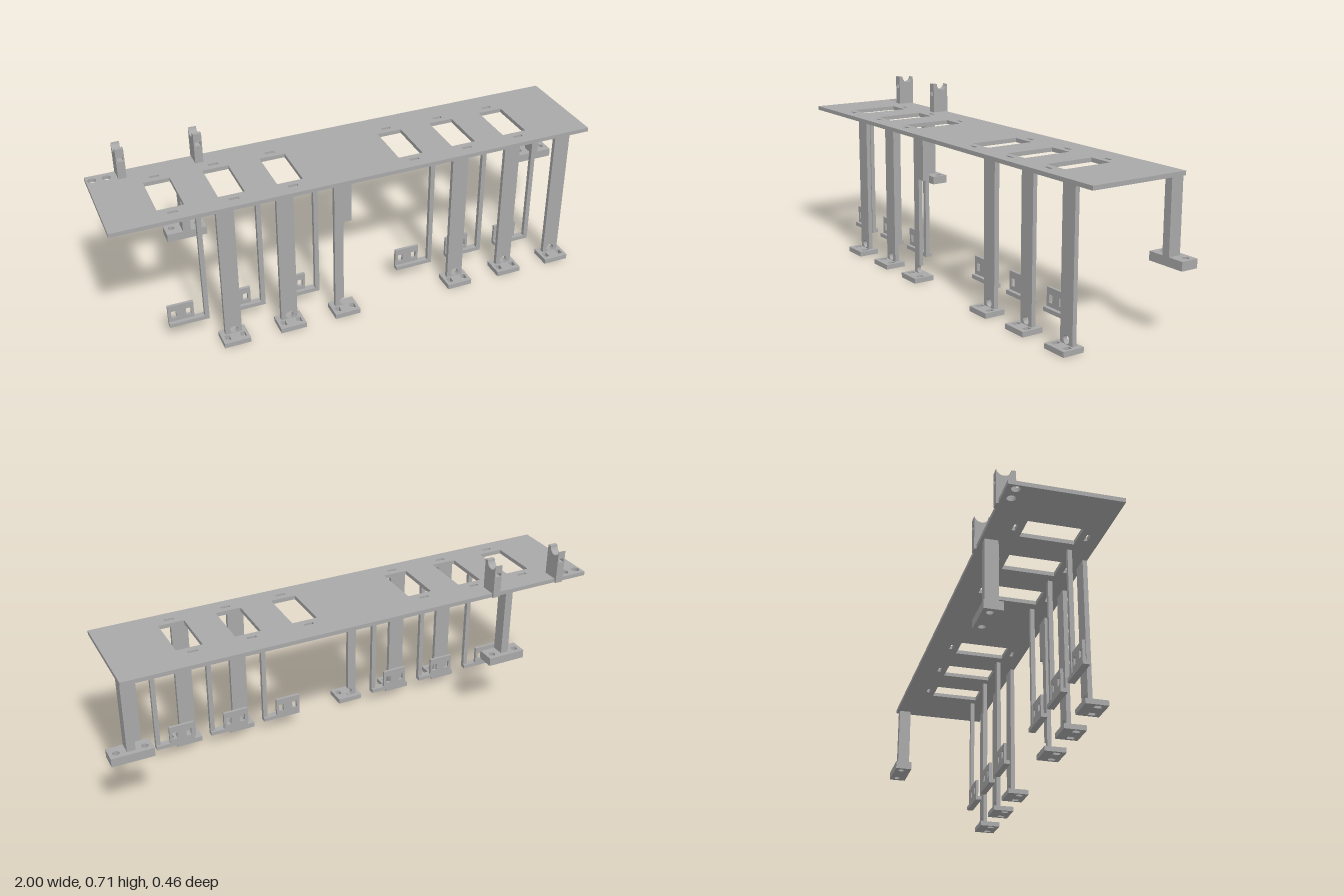
import * as THREE from 'three';

const grey = new THREE.MeshStandardMaterial({ color: 0xa8a8a8 });
grey.name = 'matte grey';

const PLATE_TOP = 0.588, PLATE_BOTTOM = 0.572;

function mesh(name, geometry) {
  const m = new THREE.Mesh(geometry, grey);
  m.name = name;
  return m;
}

// Box given by its limits on each axis
function box(name, x0, x1, y0, y1, z0, z1) {
  const g = new THREE.BoxGeometry(x1 - x0, y1 - y0, z1 - z0);
  g.translate((x0 + x1) / 2, (y0 + y1) / 2, (z0 + z1) / 2);
  return mesh(name, g);
}

function rect(x0, x1, y0, y1, Type = THREE.Path) {
  return new Type([[x0, y0], [x1, y0], [x1, y1], [x0, y1]].map(p => new THREE.Vector2(...p)));
}

function circle(x, y, r) {
  return new THREE.Path().absarc(x, y, r, 0, Math.PI * 2, false);
}

const centred = (x, y, w, h) => rect(x - w / 2, x + w / 2, y - h / 2, y + h / 2);

function extrude(shape, depth) {
  return new THREE.ExtrudeGeometry(shape, { depth, bevelEnabled: false, curveSegments: 16 });
}

// Horizontal slab: outline drawn in x and z
function slab(name, x0, x1, z0, z1, y0, y1, holes) {
  const s = rect(x0, x1, z0, z1, THREE.Shape);
  s.holes.push(...holes);
  return mesh(name, extrude(s, y1 - y0).rotateX(Math.PI / 2).translate(0, y1, 0));
}

// Upright panel: outline drawn in x and y
function panel(name, shape, z0, z1, holes = []) {
  shape.holes.push(...holes);
  return mesh(name, extrude(shape, z1 - z0).translate(0, 0, z0));
}

// Front leg with its screw foot; the half leg is stepped and has an open bite
function frontLeg(x, half) {
  const g = new THREE.Group();
  g.name = 'frontLeg';
  const l = x - 0.033, r = x + 0.033, holeY = 0.037;
  let shape, holes = [];
  if (half) {
    const edge = x + 0.003, a = Math.acos(0.003 / 0.016);
    shape = new THREE.Shape();
    shape.moveTo(l, 0.02);
    shape.lineTo(edge, 0.02);
    shape.absarc(x, holeY, 0.016, -a, a - Math.PI * 2, true);
    shape.absarc(x, holeY, 0.016, a - Math.PI * 2, a - Math.PI * 2, true);
    shape.lineTo(edge, 0.41);
    shape.lineTo(r + 0.004, 0.41);
    shape.lineTo(r + 0.004, PLATE_BOTTOM);
    shape.lineTo(l, PLATE_BOTTOM);
    // the bite runs clockwise round the left of its centre
  } else {
    shape = rect(l, r, 0.02, PLATE_BOTTOM, THREE.Shape);
    holes = [circle(x, holeY, 0.016)];
  }
  g.add(panel('legPost', shape, 0.164, 0.181, holes));
  g.add(slab('legFoot', x - 0.052, x + 0.052, 0.147, 0.233, 0, 0.02,
    [-0.031, 0.031].map(d => centred(x + d, 0.201, 0.02, 0.028))));
  return g;
}

// Thin hanger carrying a small upright mounting tab under each window
function hanger(x) {
  const g = new THREE.Group();
  g.name = 'hangingBracket';
  g.add(box('hangerStrip', x + 0.138, x + 0.156, 0.074, PLATE_BOTTOM, 0.088, 0.105));
  g.add(box('hangerLedge', x, x + 0.156, 0.058, 0.074, 0.079, 0.105));
  g.add(panel('mountingTab', rect(x, x + 0.101, 0.074, 0.146, THREE.Shape), 0.079, 0.09,
    [0.022, 0.08].map(d => centred(x + d, 0.105, 0.02, 0.03))));
  return g;
}

// Short rear support with a drilled foot
function rearSupport(x) {
  const g = new THREE.Group();
  g.name = 'rearSupport';
  g.add(box('rearPost', x - 0.016, x + 0.016, 0.295, PLATE_BOTTOM, -0.213, -0.162));
  g.add(slab('rearFoot', x - 0.08, x + 0.08, -0.232, -0.162, 0.261, 0.295,
    [-0.053, 0.053].map(d => circle(x + d, -0.203, 0.013))));
  return g;
}

// Upright cradle with a slot through it and a round saddle on top
function cradle(x) {
  const g = new THREE.Group();
  g.name = 'cableCradle';
  const w = 0.016, z0 = -0.232, z1 = -0.162, low = 0.66, high = 0.676;
  g.add(box('cradleBase', x - w, x + w, PLATE_BOTTOM, low, z0, z1));
  for (const s of [-1, 1]) {
    const a = x + s * w, b = x + s * (w - 0.005);
    g.add(box('cradleSide', Math.min(a, b), Math.max(a, b), low, high, z0, z1));
  }
  const top = new THREE.Shape();
  top.moveTo(z0, high);
  top.lineTo(z1, high);
  top.lineTo(z1, 0.712);
  top.absarc(-0.205, 0.712, 0.027, 0, -Math.PI * 0.95, true);
  top.lineTo(z0, 0.708);
  g.add(mesh('cradleSaddle', extrude(top, 2 * w).rotateY(-Math.PI / 2).translate(x + w, 0, 0)));
  return g;
}

export function createModel() {
  const model = new THREE.Group();
  model.name = 'bracketFrame';
  const stations = [-0.808, -0.581, -0.355, 0.138, 0.365, 0.591];

  // Top plate with windows, small slots and two corner holes
  const holes = [circle(-0.977, -0.191, 0.016), circle(-0.923, -0.191, 0.016)];
  for (const x of stations) {
    holes.push(rect(x, x + 0.101, -0.1, 0.1));
    for (const z of [-0.131, 0.131]) holes.push(centred(x + 0.05, z, 0.038, 0.013));
  }
  model.add(slab('topPlate', -1, 0.935, -0.224, 0.181, PLATE_BOTTOM, PLATE_TOP, holes));

  stations.forEach((x, i) => {
    model.add(frontLeg(x + 0.226, i === 2));
    model.add(hanger(x));
  });
  for (const x of [-0.647, 0.918]) model.add(rearSupport(x));
  for (const x of [-0.869, -0.574]) model.add(cradle(x));
  return model;
}
